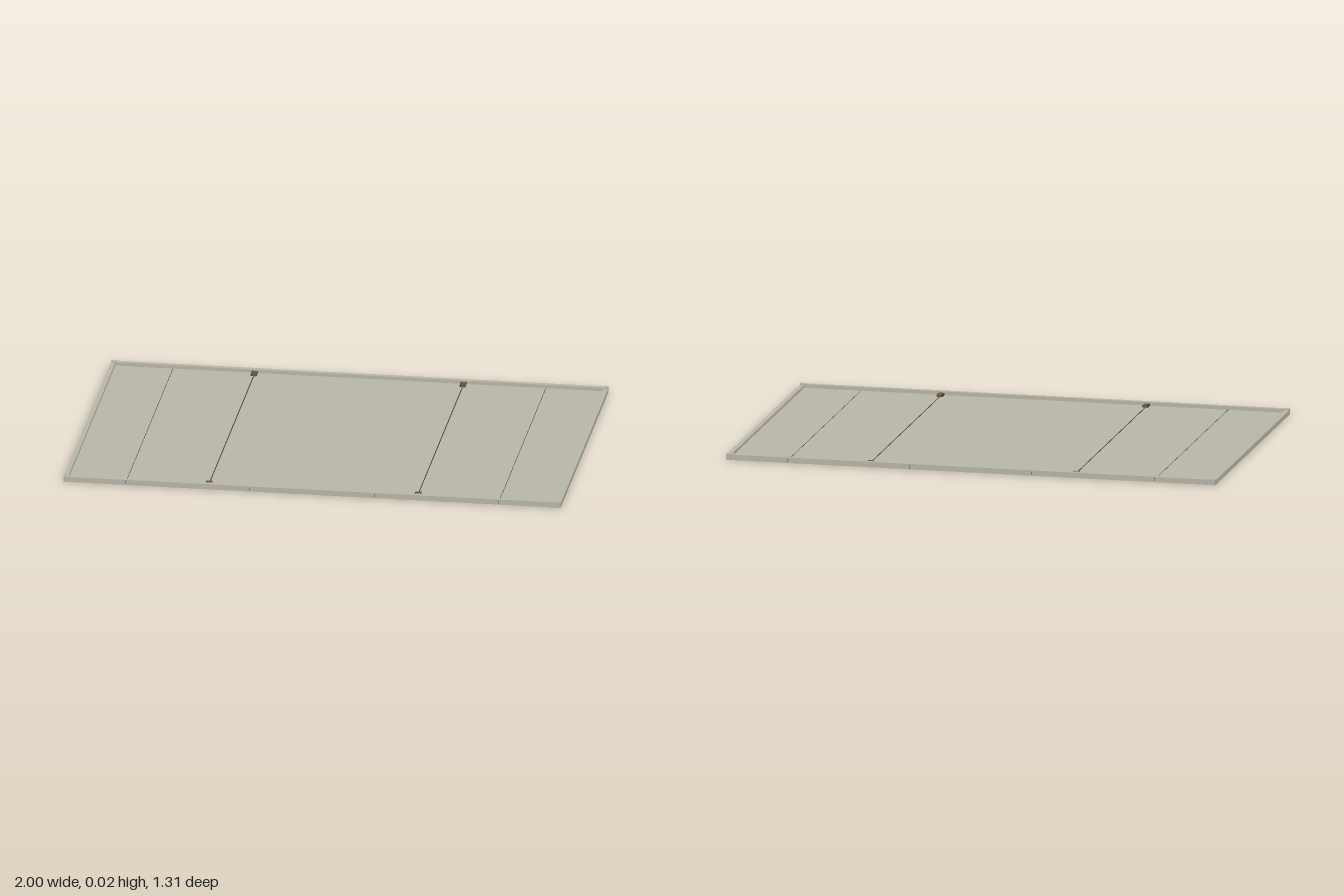
import * as THREE from 'three';

const panelMat = new THREE.MeshStandardMaterial({ color: 0xb8b5a8 });
const seamMat = new THREE.MeshStandardMaterial({ color: 0x4a4842 });
const clipMat = new THREE.MeshStandardMaterial({ color: 0x6b5836 });

// Box given by its minimum and maximum on each axis
function box(name, [x0, x1], [y0, y1], [z0, z1], material) {
  const mesh = new THREE.Mesh(new THREE.BoxGeometry(x1 - x0, y1 - y0, z1 - z0), material);
  mesh.name = name;
  mesh.position.set((x0 + x1) / 2, (y0 + y1) / 2, (z0 + z1) / 2);
  return mesh;
}

// Interval mirrored to the given side of zero
const mirror = (s, a, b) => (s > 0 ? [a, b] : [-b, -a]);

export function createModel() {
  const group = new THREE.Group();
  group.name = 'flatTray';
  const W = 1, D = 0.655, rim = 0.018, floor = 0.008;

  // Floor slab inside the rim
  group.add(box('floor', [-W + rim, W - rim], [0, floor], [-D + rim, D - rim], panelMat));

  for (const s of [-1, 1]) {
    const side = s > 0 ? 'left' : 'right';
    // Low end rail
    group.add(box(side + 'EndRail', mirror(s, W - rim, W), [0, 0.019], [-D + rim, D - rim], panelMat));

    // Long rail with a slim overhanging cap
    const end = s > 0 ? 'front' : 'back';
    group.add(box(end + 'Rail', [-W + rim, W - rim], [0, 0.019], mirror(s, D - rim, D - 0.002), panelMat));
    group.add(box(end + 'RailCap', [-W + rim, W - rim], [0.019, 0.0225], mirror(s, D - rim, D), panelMat));

    // Fine joints across the floor
    for (const x of [0.42, 0.75]) {
      const half = x === 0.42 ? 0.002 : 0.001;
      group.add(box('floorJoint', mirror(s, x - half, x + half), [floor - 0.002, floor + 0.0006],
        [-D + rim, D - rim], seamMat));
    }

    for (const t of [-1, 1]) {
      // Corner blocks
      group.add(box('cornerBlock', mirror(s, W - rim, W), [0, 0.024], mirror(t, D - rim, D), panelMat));
      // Joint clips with a dark strip on one side
      group.add(box('jointClip', [s * 0.42 - 0.006, s * 0.42 + 0.012], [floor, 0.017],
        mirror(t, 0.6, 0.637), clipMat));
      group.add(box('clipStrip', [s * 0.42 - 0.012, s * 0.42 - 0.006], [floor, 0.017],
        mirror(t, 0.6, 0.637), seamMat));
      // Short joints on the outer face of the long rails
      for (const x of [0.25, 0.75]) {
        group.add(box('railJoint', mirror(s, x - 0.001, x + 0.001), [0.004, 0.018],
          mirror(t, D - 0.004, D - 0.0014), seamMat));
      }
    }
  }
  return group;
}
